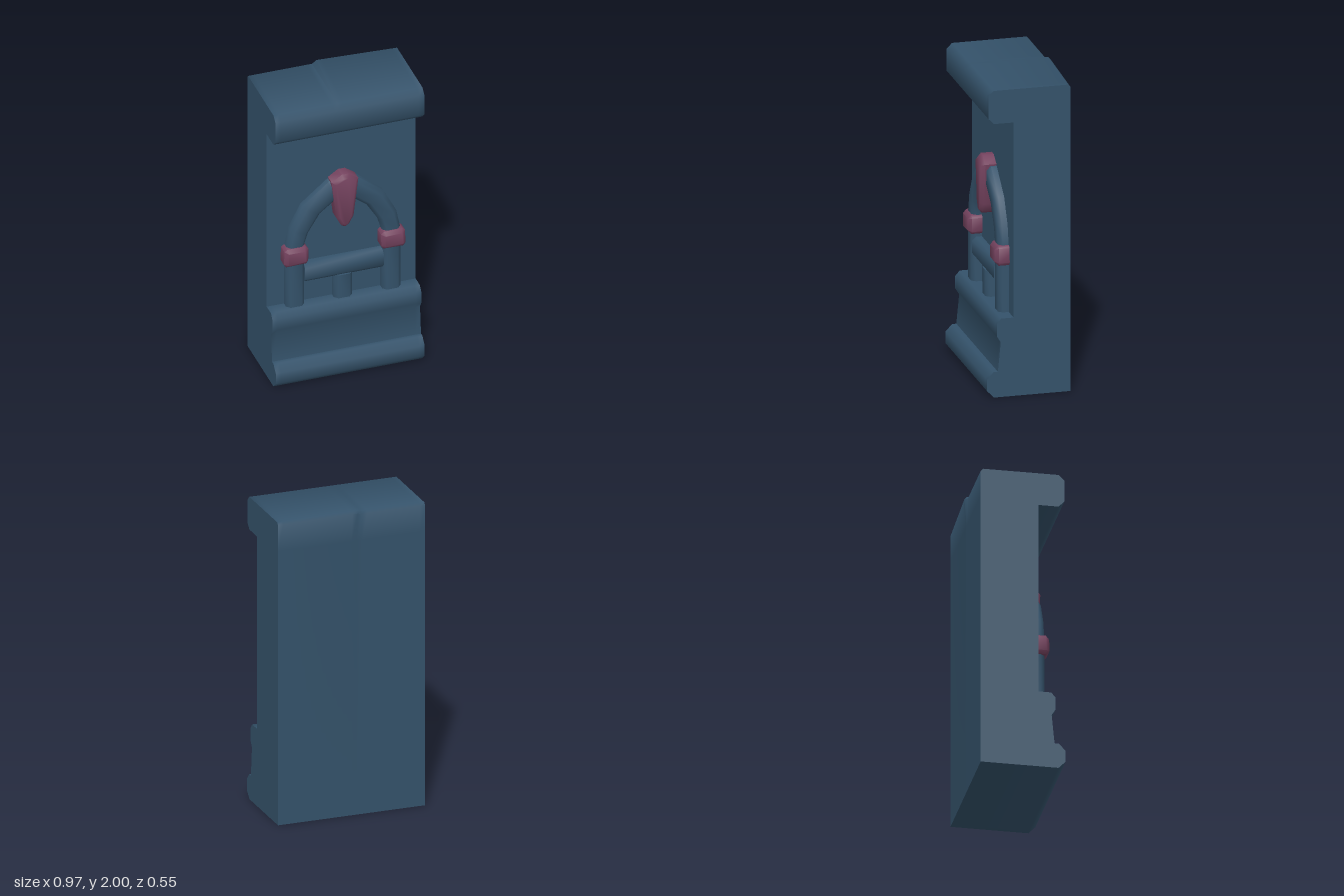
import * as THREE from 'three';
import { toCreasedNormals } from 'three/addons/utils/BufferGeometryUtils.js';

const CREASE = 0.9;
const WALL_Z = 0.085; // relief pieces start slightly inside the wall face

const blueStone = new THREE.MeshStandardMaterial({ color: 0x34526a });
blueStone.name = 'blue stone';
const plumStone = new THREE.MeshStandardMaterial({ color: 0x74425e });
plumStone.name = 'plum stone';

function part(name, geometry, material) {
  const mesh = new THREE.Mesh(toCreasedNormals(geometry, CREASE), material);
  mesh.name = name;
  return mesh;
}

const outline = (pts) => new THREE.Shape(pts.map(([x, y]) => new THREE.Vector2(x, y)));

// Wall with base, sill and cornice: one (z, y) profile drawn out along x
function wallGeometry() {
  const profile = outline([
    [-0.26, 0], [0.228, 0], [0.272, 0.045], [0.272, 0.12], [0.23, 0.165], [0.203, 0.165],
    [0.185, 0.355], [0.21, 0.395], [0.21, 0.475], [0.182, 0.508], [0.103, 0.508],
    [0.103, 1.773], [0.228, 1.773], [0.264, 1.81], [0.264, 1.955], [0.23, 1.988],
    [-0.245, 1.988], [-0.26, 1.972], [-0.26, 1.8],
  ]);
  const geo = new THREE.ExtrudeGeometry(profile, { depth: 0.97, steps: 28, bevelEnabled: false });
  geo.rotateY(-Math.PI / 2).translate(0.485, 0, 0);
  // Slight chipped ridge along the back top edge
  const p = geo.attributes.position;
  for (let i = 0; i < p.count; i++) {
    if (p.getZ(i) > -0.2 || p.getY(i) < 1.9) continue;
    const x = p.getX(i);
    const k = x < -0.05 ? 0 : THREE.MathUtils.clamp((0.485 - x) / 0.52, 0, 1);
    p.setY(i, p.getY(i) + 0.012 * k);
    p.setZ(i, p.getZ(i) - 0.014 * k);
  }
  return geo;
}

// Chamfered moulding through a row of [outerX, outerY, innerX, innerY] sections
function moulding(sections, front = 0.165) {
  const across = [[0, WALL_Z], [0, front - 0.025], [0.2, front], [0.8, front], [1, front - 0.025], [1, WALL_Z]];
  const n = across.length;
  const pos = [];
  const idx = [];
  for (const [ox, oy, ix, iy] of sections) {
    for (const [t, z] of across) pos.push(ox + (ix - ox) * t, oy + (iy - oy) * t, z);
  }
  for (let s = 0; s < sections.length - 1; s++) {
    for (let j = 0; j < n - 1; j++) {
      const a = s * n + j;
      idx.push(a, a + 1, a + n, a + 1, a + n + 1, a + n);
    }
  }
  const last = (sections.length - 1) * n;
  for (let j = 1; j < n - 1; j++) idx.push(0, j + 1, j, last, last + j, last + j + 1);
  const geo = new THREE.BufferGeometry();
  geo.setAttribute('position', new THREE.Float32BufferAttribute(pos, 3));
  geo.setIndex(idx);
  return geo;
}

// Mirror sections to the other side, reversed so faces keep pointing outwards
const mirrored = (sections) => sections.map(([a, b, c, d]) => [-a, b, -c, d]).reverse();

// Chamfered block from a front outline
function block(pts, front, bevel) {
  const back = 0.03;
  return new THREE.ExtrudeGeometry(outline(pts), {
    depth: front - back - 2 * bevel, bevelThickness: bevel, bevelSize: bevel,
    bevelOffset: -bevel, bevelSegments: 1,
  }).translate(0, 0, back + bevel);
}

export function createModel() {
  const model = new THREE.Group();
  model.name = 'wallSegment';
  model.add(part('wall', wallGeometry(), blueStone));

  // Sections run upwards on the -x side; outer edge first
  const column = [[-0.373, 0.49, -0.254, 0.49], [-0.373, 0.85, -0.254, 0.85]];
  const arch = [
    [-0.373, 0.9, -0.254, 0.9], [-0.37, 0.945, -0.253, 0.945], [-0.345, 1.065, -0.23, 1.02],
    [-0.265, 1.22, -0.153, 1.145], [-0.095, 1.362, -0.05, 1.225], [0, 1.39, 0, 1.245],
  ];
  const capital = [
    [-0.38, 0.815], [-0.253, 0.818], [-0.238, 0.835], [-0.237, 0.922],
    [-0.255, 0.94], [-0.375, 0.942], [-0.392, 0.928], [-0.396, 0.835],
  ];

  // In this order the strip faces wind clockwise on the -x side, so each row is reversed
  const sides = [
    ['right', [...column].reverse(), [...arch].reverse(), capital],
    ['left', mirrored([...column].reverse()), mirrored([...arch].reverse()),
      capital.map(([x, y]) => [-x, y]).reverse()],
  ];
  for (const [side, col, arc, cap] of sides) {
    // Order outer-to-inner across and section direction decide the facing
    const fix = (rows) => facingFront(rows);
    model.add(part(side + 'Column', moulding(fix(col)), blueStone));
    model.add(part(side + 'Arch', moulding(fix(arc)), blueStone));
    model.add(part(side + 'Capital', block(cap, 0.192, 0.022), plumStone));
  }

  // Cross rail and its short post
  model.add(part('rail', moulding(facingFront([
    [-0.256, 0.798, -0.256, 0.668], [0.256, 0.798, 0.256, 0.668]])), blueStone));
  model.add(part('post', moulding(facingFront([
    [-0.06, 0.49, 0.06, 0.49], [-0.06, 0.675, 0.06, 0.675]]), 0.16), blueStone));

  // Keystone
  model.add(part('keystone', block([
    [0, 1.038], [0.025, 1.052], [0.056, 1.11], [0.087, 1.375], [0.022, 1.42],
    [-0.022, 1.42], [-0.087, 1.375], [-0.056, 1.11], [-0.025, 1.052],
  ], 0.196, 0.022), plumStone));
  return model;
}

// Put sections in the order that makes the moulding face +z
function facingFront(rows) {
  const [a, b] = rows;
  const cross = (a[2] - a[0]) * (b[1] - a[1]) - (a[3] - a[1]) * (b[0] - a[0]);
  return cross > 0 ? rows : [...rows].reverse();
}
